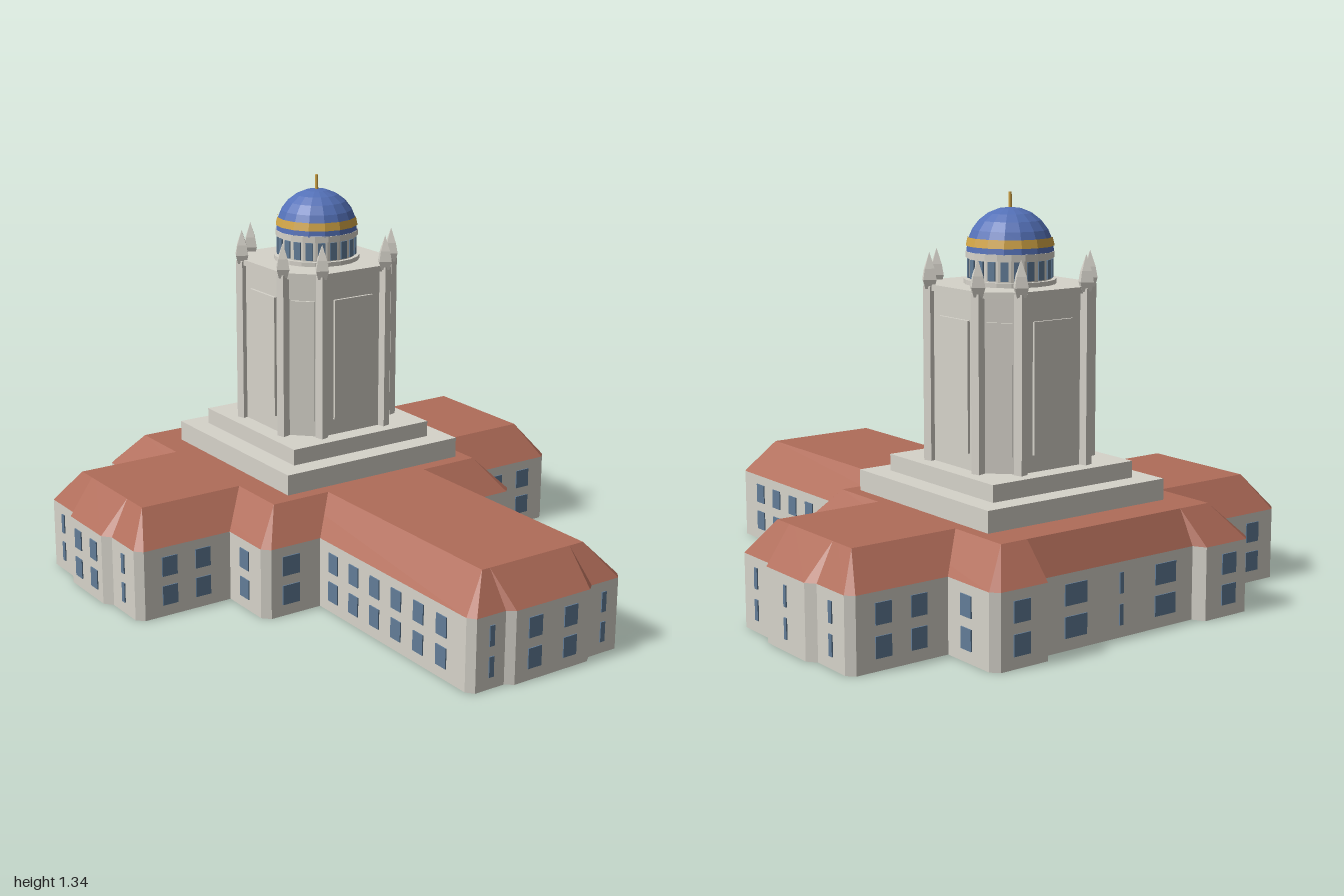
import * as THREE from 'three';

const mat = (name, color, side = THREE.FrontSide) => {
  const m = new THREE.MeshStandardMaterial({ color, side });
  m.name = name;
  return m;
};

export function createModel() {
  const stone = mat('pale stone', 0xd6d3ca, THREE.DoubleSide);
  const tile = mat('red roof tile', 0xb06c59, THREE.DoubleSide);
  const glass = mat('blue grey glass', 0x627d98);
  const blue = mat('dome blue', 0x5471b8);
  const gold = mat('gold', 0xd2a545);

  const model = new THREE.Group();
  // The whole building stands turned by 30 degrees
  const building = new THREE.Group();
  building.name = 'building';
  building.rotation.y = Math.PI / 6;
  building.position.set(-0.008, 0, -0.285);
  model.add(building);

  const add = (parent, name, geo, material, x = 0, y = 0, z = 0, ry = 0) => {
    const m = new THREE.Mesh(geo, material);
    m.name = name;
    m.position.set(x, y, z);
    m.rotation.y = ry;
    parent.add(m);
    return m;
  };
  const facet = (geo) => {
    const g = geo.index ? geo.toNonIndexed() : geo;
    g.computeVertexNormals();
    return g;
  };
  const quads = (list) => {
    const pos = [];
    for (const [a, b, c, d] of list) pos.push(...a, ...b, ...c, ...a, ...c, ...d);
    const g = new THREE.BufferGeometry();
    g.setAttribute('position', new THREE.Float32BufferAttribute(pos, 3));
    g.computeVertexNormals();
    return g;
  };

  // A block open below, with a hipped roof cut flat; half is its +x outline, back to front
  const EAVE = 0.24, TOP = 0.35, INSET = 0.1;
  const block = (name, half) => {
    const pts = [...half, ...half.map(([x, z]) => [-x, z]).reverse()];
    const hx = Math.max(...pts.map((p) => p[0])) - INSET;
    const z0 = Math.min(...pts.map((p) => p[1])) + INSET;
    const z1 = Math.max(...pts.map((p) => p[1])) - INSET;
    const ridge = ([x, z]) => [
      THREE.MathUtils.clamp(x, -hx, hx), TOP, THREE.MathUtils.clamp(z, z0, z1)];
    const walls = [], roof = [];
    pts.forEach((p, i) => {
      const q = pts[(i + 1) % pts.length];
      const pe = [p[0], EAVE, p[1]], qe = [q[0], EAVE, q[1]];
      walls.push([[p[0], 0, p[1]], pe, qe, [q[0], 0, q[1]]]);
      roof.push([pe, ridge(p), ridge(q), qe]);
    });
    roof.push([[-hx, TOP, z0], [-hx, TOP, z1], [hx, TOP, z1], [hx, TOP, z0]]);
    add(building, name + 'Walls', quads(walls), stone);
    add(building, name + 'Roof', quads(roof), tile);
  };

  block('longWing', [[0.3, -0.45], [0.3, 1.29], [0.28, 1.315], [0.17, 1.315], [0.145, 1.335]]);
  block('core', [[0.295, -0.5], [0.318, -0.54], [0.49, -0.54], [0.515, -0.515],
    [0.515, 0.502], [0.49, 0.527]]);
  block('crossWing', [[0.838, -0.312], [0.862, -0.288], [0.862, -0.14], [0.886, -0.11],
    [0.886, 0.11], [0.862, 0.14], [0.862, 0.288], [0.838, 0.312]]);

  // Two rows of windows, as thin plates on the walls
  const windows = (x, z, w, onSide = false) => {
    for (const y of [0.073, 0.174]) {
      add(building, 'window', new THREE.BoxGeometry(w, 0.067, 0.008), glass,
        x, y, z, onSide ? Math.PI / 2 : 0);
    }
  };
  for (const s of [-1, 1]) {
    for (let i = 0; i < 11; i++) windows(s * 0.3, 1.175 - i * 0.114, 0.05, true); // long wing
    windows(s * 0.07, 1.335, 0.052);
    windows(s * 0.222, 1.315, 0.018);
    windows(s * 0.415, 0.527, 0.065); // core
    windows(s * 0.415, -0.54, 0.06);
    windows(s * 0.18, -0.5, 0.085);
    for (const t of [-1, 1]) {
      windows(s * 0.515, t * 0.405, 0.052, true);
      windows(s * 0.745, t * 0.312, 0.056); // cross wing
      windows(s * 0.62, t * 0.312, 0.056);
      windows(s * 0.862, t * 0.215, 0.018, true);
    }
    windows(-0.886, s * 0.055, 0.045, true);
  }
  windows(0.886, 0, 0.014, true);
  windows(0, -0.5, 0.014);

  // Stepped base of the tower
  const tower = new THREE.Group();
  tower.name = 'tower';
  tower.position.set(0.022, 0, 0.03);
  building.add(tower);
  add(tower, 'lowerStep', new THREE.BoxGeometry(0.704, 0.085, 0.704), stone, 0, 0.3775);
  add(tower, 'upperStep', new THREE.BoxGeometry(0.56, 0.055, 0.56), stone, 0, 0.4475);

  // Shaft: a square with cut corners
  const corners = [];
  for (let k = 0; k < 4; k++) {
    for (const d of [-30, 30]) {
      const t = THREE.MathUtils.degToRad(k * 90 + d);
      corners.push(new THREE.Vector2(Math.cos(t), Math.sin(t)));
    }
  }
  const prism = (r, h) => {
    const shape = new THREE.Shape(corners.map((c) => c.clone().multiplyScalar(r)));
    const g = new THREE.ExtrudeGeometry(shape, { depth: h, bevelEnabled: false });
    return g.rotateX(-Math.PI / 2);
  };
  const R = 0.25;
  add(tower, 'shaft', prism(R, 0.56), stone, 0, 0.475);
  add(tower, 'shaftCap', prism(R + 0.012, 0.02), stone, 0, 1.025);

  // Raised panels on the broad and narrow faces
  for (let k = 0; k < 8; k++) {
    const broad = k % 2 === 0;
    const t = k * Math.PI / 4;
    const d = R * Math.cos(broad ? Math.PI / 6 : Math.PI / 12);
    add(tower, 'panel', new THREE.BoxGeometry(broad ? 0.155 : 0.08, 0.42, 0.018), stone,
      Math.sin(t) * d, 0.74, Math.cos(t) * d, t);
  }

  // Piers with pinnacles at every corner
  const pinnacle = facet(new THREE.LatheGeometry([[0.02, 1.03], [0.03, 1.06], [0.022, 1.095],
    [0, 1.147]].map(([x, y]) => new THREE.Vector2(x, y)), 4));
  for (const c of corners) {
    const x = c.x * 0.258, z = c.y * 0.258;
    add(tower, 'pier', new THREE.BoxGeometry(0.03, 0.57, 0.03), stone, x, 0.755, z, Math.PI / 12);
    add(tower, 'pinnacle', pinnacle, stone, x, 0, z, Math.PI / 12);
  }

  // Drum with a ring of slit windows
  const ring = (name, r, y0, y1, material) => add(tower, name,
    facet(new THREE.CylinderGeometry(r, r, y1 - y0, 20)), material, 0, (y0 + y1) / 2);
  ring('drumBase', 0.148, 1.04, 1.06, stone);
  ring('drum', 0.134, 1.05, 1.14, stone);
  ring('drumCornice', 0.142, 1.128, 1.148, stone);
  for (let k = 0; k < 20; k++) {
    const t = (k + 0.5) * Math.PI / 10;
    add(tower, 'drumWindow', new THREE.BoxGeometry(0.025, 0.06, 0.009), glass,
      Math.sin(t) * 0.133, 1.094, Math.cos(t) * 0.133, t);
  }

  // Dome, gold band and finial
  const cap = (r, from, to, steps) => {
    const pts = [];
    for (let i = 0; i <= steps; i++) {
      const t = THREE.MathUtils.degToRad(from + (to - from) * i / steps);
      pts.push(new THREE.Vector2(Math.max(0, r * Math.cos(t)), 1.146 + r * Math.sin(t)));
    }
    return facet(new THREE.LatheGeometry(pts, 16));
  };
  add(tower, 'dome', cap(0.141, 0, 90, 6), blue);
  add(tower, 'domeBand', cap(0.144, 8, 19, 1), gold);
  add(tower, 'finial', new THREE.CylinderGeometry(0.005, 0.006, 0.06, 8), gold, 0, 1.305);

  return model;
}
